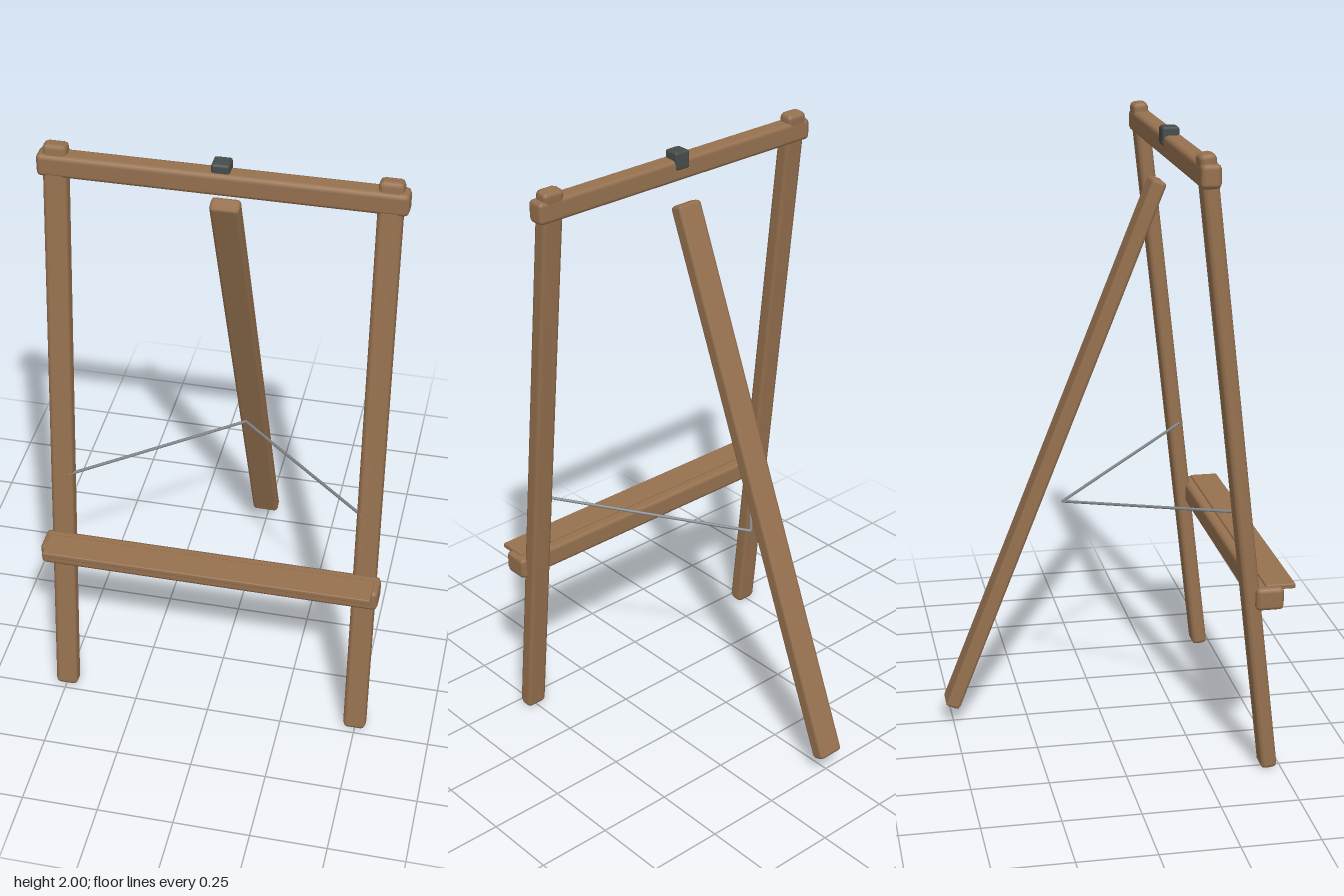
import * as THREE from 'three';
import { RoundedBoxGeometry } from 'three/addons/geometries/RoundedBoxGeometry.js';

export function createModel() {
  const easel = new THREE.Group();
  easel.name = 'easel';

  const material = (name, color) => {
    const m = new THREE.MeshStandardMaterial({ color });
    m.name = name;
    return m;
  };
  const wood = material('wood', 0x96714f);
  const steel = material('steel', 0x84888a);
  const iron = material('dark iron', 0x474c4a);

  // Beam with eased edges, tilted about the x axis
  const beam = (name, size, position, tilt = 0, radius = 0.015, mat = wood) => {
    const mesh = new THREE.Mesh(new RoundedBoxGeometry(...size, 1, radius), mat);
    mesh.name = name;
    mesh.position.set(...position);
    mesh.rotation.x = tilt;
    easel.add(mesh);
  };

  // Thin round rod between two points
  const rod = (name, a, b, radius) => {
    const dir = b.clone().sub(a);
    const mesh = new THREE.Mesh(new THREE.CylinderGeometry(radius, radius, dir.length(), 8), steel);
    mesh.name = name;
    mesh.position.copy(a).add(b).multiplyScalar(0.5);
    mesh.quaternion.setFromUnitVectors(new THREE.Vector3(0, 1, 0), dir.normalize());
    easel.add(mesh);
  };

  // Front legs lean back; a stay runs from each one to the middle
  for (const [side, s] of [['left', 1], ['right', -1]]) {
    beam(`${side}FrontLeg`, [0.075, 2.008, 0.053], [s * 0.498, 1, 0.344], -0.118);
    rod(`${side}Stay`, new THREE.Vector3(s * 0.475, 0.864, 0.385),
      new THREE.Vector3(0, 0.765, -0.122), 0.005);
  }

  // Rear prop leg leans forward
  beam('rearLeg', [0.092, 1.895, 0.05], [0, 0.947, -0.158], 0.376, 0.012);

  // Cross rails and canvas ledge
  beam('topRail', [1.107, 0.073, 0.064], [0, 1.933, 0.234]);
  beam('lowerRail', [1.107, 0.075, 0.091], [0, 0.597, 0.445]);
  beam('canvasLedge', [1.07, 0.017, 0.096], [0, 0.632, 0.481], 0, 0.004);

  // Clamp on top of the upper rail
  beam('clamp', [0.056, 0.06, 0.056], [0, 1.966, 0.225], 0, 0.008, iron);

  return easel;
}
